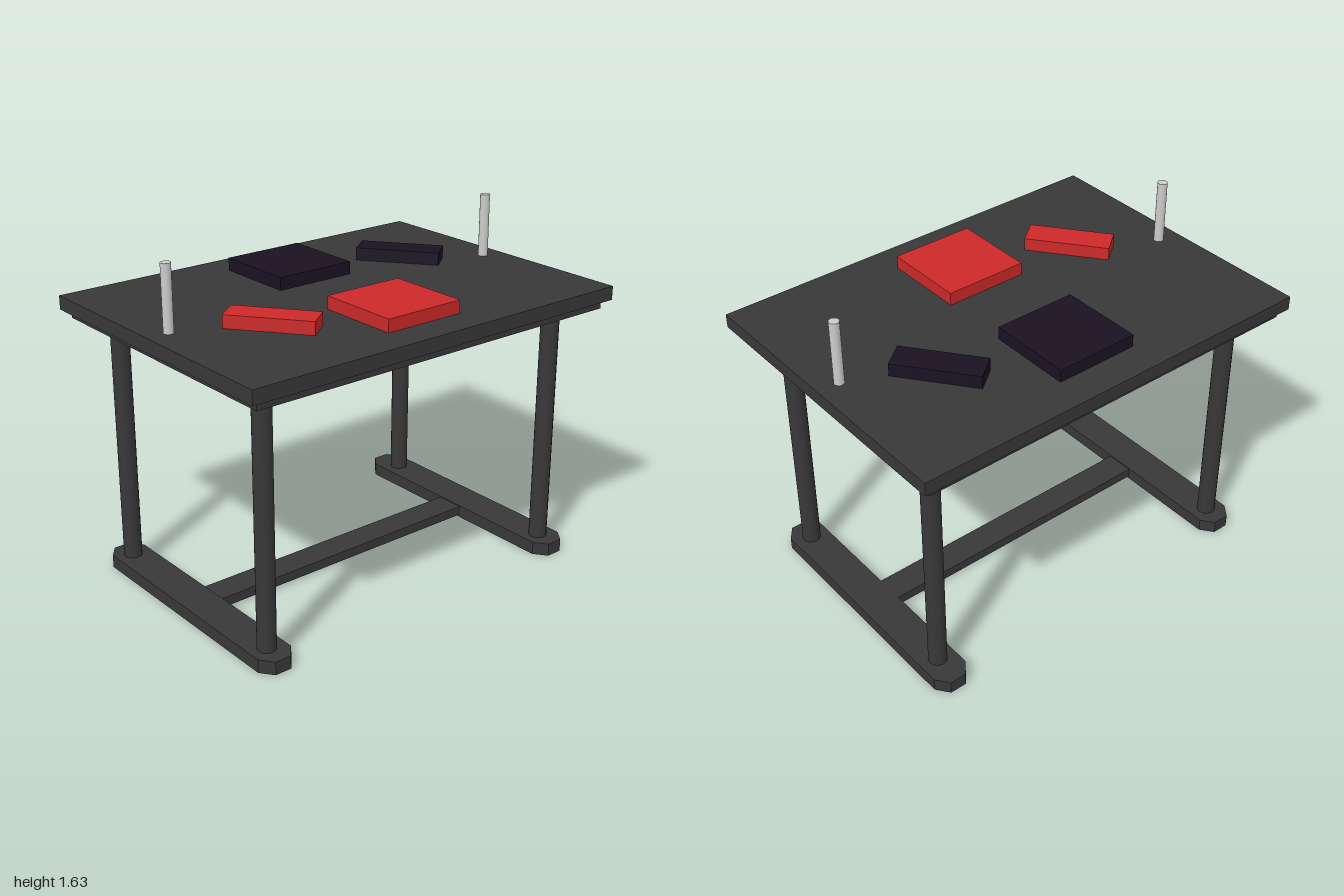
import * as THREE from 'three';

const paint = (color) => new THREE.MeshStandardMaterial({ color });

export function createModel() {
  const model = new THREE.Group();
  const frame = paint(0x383838);
  const red = paint(0xcc2929);
  const dark = paint(0x1a1122);
  const metal = paint(0xcccccc);

  const add = (name, geometry, material, x, y, z) => {
    const mesh = new THREE.Mesh(geometry, material);
    mesh.name = name;
    mesh.position.set(x, y, z);
    model.add(mesh);
    return mesh;
  };
  const box = (name, w, h, d, material, x, y, z) =>
    add(name, new THREE.BoxGeometry(w, h, d), material, x, y, z);

  // Table top with a slightly smaller board below
  box('tableTop', 1.45, 0.065, 2, frame, 0, 1.2975, 0);
  box('underBoard', 1.39, 0.04, 1.92, frame, 0, 1.245, 0);

  // Feet: long bars with chamfered ends
  const outline = new THREE.Shape([
    [-0.58, -0.086], [0.58, -0.086], [0.64, -0.04], [0.64, 0.04],
    [0.58, 0.086], [-0.58, 0.086], [-0.64, 0.04], [-0.64, -0.04],
  ].map(([x, y]) => new THREE.Vector2(x, y)));
  const footGeometry = new THREE.ExtrudeGeometry(outline, { depth: 0.062, bevelEnabled: false });
  footGeometry.rotateX(-Math.PI / 2);
  add('frontFoot', footGeometry, frame, 0, 0, 0.815);
  add('backFoot', footGeometry, frame, 0, 0, -0.815);
  box('crossBar', 0.14, 0.046, 1.5, frame, 0, 0.034, 0);

  // Legs; the back right one stands a little further in
  const legGeometry = new THREE.CylinderGeometry(0.043, 0.043, 1.17, 16);
  const legs = {
    frontLeftLeg: [0.529, 0.818], frontRightLeg: [-0.532, 0.818],
    backLeftLeg: [0.529, -0.813], backRightLeg: [-0.489, -0.813],
  };
  for (const [name, [x, z]] of Object.entries(legs)) add(name, legGeometry, frame, x, 0.645, z);

  // Hand pegs at both ends
  const pegGeometry = new THREE.CylinderGeometry(0.023, 0.023, 0.3, 16);
  add('frontPeg', pegGeometry, metal, 0, 1.48, 0.895);
  add('backPeg', pegGeometry, metal, 0, 1.48, -0.895);

  // Square elbow pads and slanted touch pads
  const padY = 1.36;
  box('leftElbowPad', 0.4, 0.06, 0.4, red, 0.368, padY, 0);
  box('rightElbowPad', 0.4, 0.06, 0.4, dark, -0.365, padY, 0);
  box('leftTouchPad', 0.395, 0.06, 0.133, red, 0.208, padY, 0.52).rotation.y = 0.66;
  box('rightTouchPad', 0.395, 0.06, 0.133, dark, -0.204, padY, -0.54).rotation.y = 0.66;

  return model;
}
